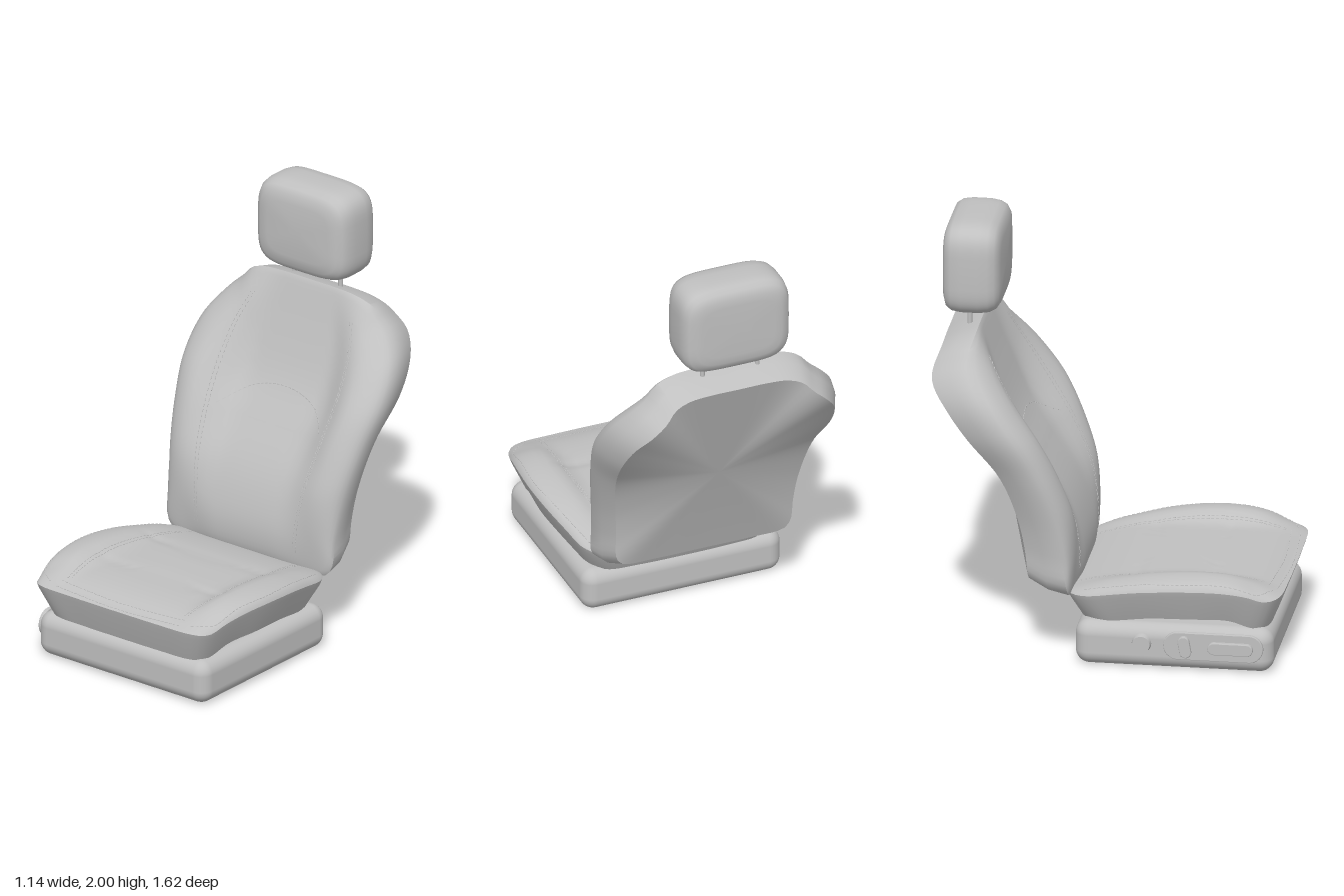
import * as THREE from 'three';
import { mergeGeometries, toCreasedNormals } from 'three/addons/utils/BufferGeometryUtils.js';
import { RoundedBoxGeometry } from 'three/addons/geometries/RoundedBoxGeometry.js';

const V = (x, y, z) => new THREE.Vector3(x, y, z);
const { lerp, smoothstep } = THREE.MathUtils;

// smooth lookup through [input, output] pairs
function curve(pairs) {
  const f = new THREE.CubicInterpolant(pairs.map(p => p[0]), pairs.map(p => p[1]), 1, new Float32Array(1));
  const lo = pairs[0][0], hi = pairs[pairs.length - 1][0];
  return v => f.evaluate(Math.min(hi, Math.max(lo, v)))[0];
}

// closed symmetric outline from its right half, running from the first to the last point
function outline(half, n) {
  const pts = half.map(([a, b]) => V(a, b, 0));
  const mirror = half.filter(p => p[0] > 0).reverse().map(([a, b]) => V(-a, b, 0));
  return new THREE.CatmullRomCurve3([...pts, ...mirror], true, 'centripetal').getSpacedPoints(n).slice(0, n);
}

// skin closed rings, capped at both ends by a point
function loft(start, rings, end, crease = 0.7) {
  const n = rings[0].length, pos = [], idx = [];
  [start, ...rings.flat(), end].forEach(p => pos.push(p.x, p.y, p.z));
  const at = (i, j) => 1 + i * n + (j % n), last = 1 + rings.length * n;
  for (let j = 0; j < n; j++) {
    idx.push(0, at(0, j + 1), at(0, j));
    for (let i = 0; i < rings.length - 1; i++) {
      idx.push(at(i, j), at(i, j + 1), at(i + 1, j), at(i, j + 1), at(i + 1, j + 1), at(i + 1, j));
    }
    idx.push(at(rings.length - 1, j), at(rings.length - 1, j + 1), last);
  }
  const g = new THREE.BufferGeometry();
  g.setAttribute('position', new THREE.Float32BufferAttribute(pos, 3));
  g.setIndex(idx);
  return toCreasedNormals(g, crease);
}

const SCALES = [0.985, 0.96, 0.93, 0.89, 0.84, 0.78, 0.72, 0.66, 0.6, 0.52, 0.44, 0.35, 0.25, 0.14, 0.06];
const swell = s => Math.sqrt(1 - s ** 8);

function backrestGeometry() {
  const shape = outline([[0, 0.31], [0.25, 0.31], [0.44, 0.32], [0.475, 0.36], [0.485, 0.5], [0.5, 0.65], [0.54, 0.9],
    [0.57, 1.1], [0.545, 1.25], [0.47, 1.36], [0.4, 1.425], [0.35, 1.475], [0.27, 1.505], [0.15, 1.515], [0, 1.515]], 120);
  const rim = curve([[0.37, -0.36], [0.5, -0.37], [0.7, -0.41], [0.9, -0.49], [1.08, -0.63], [1.2, -0.72], [1.33, -0.805], [1.45, -0.775]]);
  const edge = curve([[0.31, -0.17], [0.5, -0.2], [0.7, -0.26], [0.9, -0.34], [1.1, -0.46], [1.25, -0.56], [1.4, -0.645], [1.515, -0.62]]);
  const bolster = curve([[0.31, -0.15], [0.68, -0.155], [0.83, -0.2], [1.05, -0.3], [1.2, -0.4], [1.35, -0.5], [1.515, -0.6]]);
  const middle = curve([[0.31, -0.12], [0.5, -0.14], [0.7, -0.21], [0.9, -0.335], [1.05, -0.435], [1.3, -0.54], [1.515, -0.605]]);
  const width = curve([[0.31, 0.46], [0.65, 0.5], [0.9, 0.54], [1.1, 0.57], [1.25, 0.54], [1.36, 0.47], [1.515, 0.36]]);
  const front = (x, y) => lerp(middle(y), bolster(y), smoothstep(Math.abs(x) / width(y), 0.35, 0.8));
  const cy = 0.9;
  const ring = (s, z) => shape.map(p => {
    const x = p.x * s, y = cy + (p.y - cy) * s;
    return V(x, y, z(x, y, p));
  });
  const rimZ = p => rim(cy + (p.y - cy) * 0.9);
  return loft(V(0, 0.88, -0.545), [
    ring(0.9, (x, y) => rim(y)),
    ring(0.97, (x, y, p) => lerp(rimZ(p), edge(p.y), 0.5)),
    ring(1, (x, y, p) => edge(p.y)),
    ...SCALES.map(s => ring(s, (x, y, p) => lerp(edge(p.y), front(x, y), swell(s)))),
  ], V(0, cy, front(0, cy)));
}

function cushionGeometry() {
  // plan outline, second value is -z
  const shape = outline([[0, -0.81], [0.25, -0.808], [0.42, -0.8], [0.475, -0.775], [0.515, -0.68], [0.55, -0.42], [0.54, -0.2],
    [0.51, -0.03], [0.48, 0.1], [0.42, 0.17], [0.25, 0.19], [0, 0.195]], 120);
  const base = curve([[-0.14, 0.2], [0, 0.205], [0.2, 0.24], [0.4, 0.25], [0.57, 0.245], [0.68, 0.205], [0.75, 0.205]]);
  const belt = curve([[-0.19, 0.325], [-0.1, 0.335], [0.2, 0.39], [0.5, 0.405], [0.65, 0.385], [0.73, 0.357], [0.81, 0.365]]);
  const bolster = curve([[-0.19, 0.345], [0, 0.4], [0.2, 0.44], [0.45, 0.46], [0.6, 0.447], [0.7, 0.415], [0.81, 0.37]]);
  const middle = curve([[-0.19, 0.335], [-0.1, 0.36], [0.1, 0.395], [0.5, 0.412], [0.7, 0.4], [0.81, 0.37]]);
  const groove = (z, at) => 0.007 * Math.exp(-(((z - at) / 0.025) ** 2));
  const top = (x, z) => {
    const t = smoothstep(Math.abs(x), 0.3, 0.42);
    return lerp(middle(z) - groove(z, 0.12) - groove(z, 0.46), bolster(z), t);
  };
  const cz = 0.31;
  const ring = (s, h) => shape.map(p => {
    const x = p.x * s, z = cz + (-p.y - cz) * s;
    return V(x, h(x, z, -p.y), z);
  });
  return loft(V(0, 0.21, cz), [
    ring(0.84, (x, z) => base(z) - 0.005),
    ring(0.88, (x, z) => base(z)),
    ring(0.985, (x, z, oz) => belt(oz) - 0.025),
    ring(1, (x, z, oz) => belt(oz)),
    ...SCALES.map(s => ring(s, (x, z, oz) => lerp(belt(oz), top(x, z), swell(s)))),
  ], V(0, top(0, cz), cz));
}

function headrestGeometry() {
  // [z, inset] sections from back to front
  const sections = [[-0.785, 0.09], [-0.783, 0.055], [-0.77, 0.022], [-0.745, 0.006], [-0.7, 0], [-0.62, 0],
    [-0.575, 0.006], [-0.545, 0.02], [-0.528, 0.045], [-0.521, 0.09]];
  const rings = sections.map(([z, d]) => Array.from({ length: 64 }, (_, j) => {
    const a = j / 64 * Math.PI * 2, c = Math.cos(a), s = Math.sin(a), k = 2 / 4.5;
    return V(Math.sign(c) * Math.abs(c) ** k * (0.265 - d), 1.78 + Math.sign(s) * Math.abs(s) ** k * (0.22 - d), z);
  }));
  return loft(V(0, 1.78, -0.787), rings, V(0, 1.78, -0.518), 1.2);
}

// row of tiny stitches dropped onto a surface along a direction
function stitches(target, points, dir) {
  const ray = new THREE.Raycaster(), path = new THREE.CatmullRomCurve3(points);
  const hit = p => {
    ray.set(p.clone().addScaledVector(dir, -3), dir);
    return ray.intersectObject(target)[0]?.point;
  };
  const n = Math.round(path.getLength() / 0.022), parts = [];
  for (let i = 0; i < n; i++) {
    const a = hit(path.getPointAt(i / n)), b = hit(path.getPointAt((i + 0.6) / n));
    if (!a || !b) continue;
    const g = new THREE.BoxGeometry(0.003, 0.003, a.distanceTo(b));
    const m = new THREE.Matrix4().lookAt(b, a, dir).setPosition(a.clone().lerp(b, 0.5));
    parts.push(g.applyMatrix4(m));
  }
  return mergeGeometries(parts);
}

// flat stadium plate for the side of the base, centred on z, y
function plate(length, height, depth) {
  const s = new THREE.Shape(), r = height / 2, l = length / 2 - r;
  s.absarc(l, 0, r, -Math.PI / 2, Math.PI / 2);
  s.absarc(-l, 0, r, Math.PI / 2, Math.PI * 1.5);
  return new THREE.ExtrudeGeometry(s, { depth, bevelEnabled: true, bevelSize: 0.004, bevelThickness: 0.004, bevelSegments: 2, curveSegments: 12 })
    .rotateY(-Math.PI / 2);
}

export function createModel() {
  const group = new THREE.Group();
  const grey = new THREE.MeshStandardMaterial({ color: 0xc0c0c0 });
  grey.name = 'seatGrey';
  const add = (name, geometry, x = 0, y = 0, z = 0) => {
    const m = new THREE.Mesh(geometry, grey);
    m.name = name;
    m.position.set(x, y, z);
    group.add(m);
    return m;
  };

  // main upholstery
  add('base', new RoundedBoxGeometry(0.98, 0.21, 0.91, 6, 0.065), 0, 0.105, 0.315);
  const cushion = add('cushion', cushionGeometry());
  const backrest = add('backrest', backrestGeometry());
  add('headrest', headrestGeometry());
  for (const side of [-1, 1]) {
    add('headrestPost', new THREE.CylinderGeometry(0.011, 0.011, 0.16, 16), side * 0.135, 1.53, -0.67);
  }

  // stitching
  const back = V(0, 0, -1), down = V(0, -1, 0);
  for (const side of [-1, 1]) {
    for (const d of [0, 0.015]) {
      add('backrestSeam', stitches(backrest, [[0.29, 0.4], [0.305, 0.6], [0.335, 0.85], [0.352, 1.1], [0.335, 1.27], [0.29, 1.41]]
        .map(([x, y]) => V(side * (x - d), y, 0)), back));
      add('cushionSeam', stitches(cushion, [[0.31, -0.14], [0.345, 0.1], [0.362, 0.35], [0.36, 0.55], [0.345, 0.72]]
        .map(([x, z]) => V(side * (x - d), 0, z)), down));
    }
    add('cushionEdgeSeam', stitches(cushion, [[0.45, -0.1], [0.49, 0.08], [0.53, 0.35], [0.515, 0.55], [0.49, 0.7], [0.4, 0.765]]
      .map(([x, z]) => V(side * x, 0, z)), down));
  }
  add('backrestArcSeam', stitches(backrest, [[-0.3, 0.93], [-0.16, 1.02], [0, 1.05], [0.16, 1.02], [0.3, 0.93]]
    .map(([x, y]) => V(x, y, 0)), back));
  for (const z of [0.755, 0.795]) {
    add('cushionFrontSeam', stitches(cushion, [V(-0.36, 0, z - 0.02), V(0, 0, z), V(0.36, 0, z - 0.02)], down));
  }

  // adjustment controls on the right side
  add('controlPanel', plate(0.45, 0.125, 0.012), -0.488, 0.125, 0.5);
  add('slideSwitch', plate(0.2, 0.05, 0.016), -0.503, 0.125, 0.58);
  add('reclineSwitch', plate(0.095, 0.045, 0.016).rotateX(1.4), -0.503, 0.125, 0.37);
  add('lumbarKnob', new THREE.CylinderGeometry(0.04, 0.046, 0.03, 32).rotateZ(Math.PI / 2), -0.5, 0.125, 0.17);
  return group;
}
